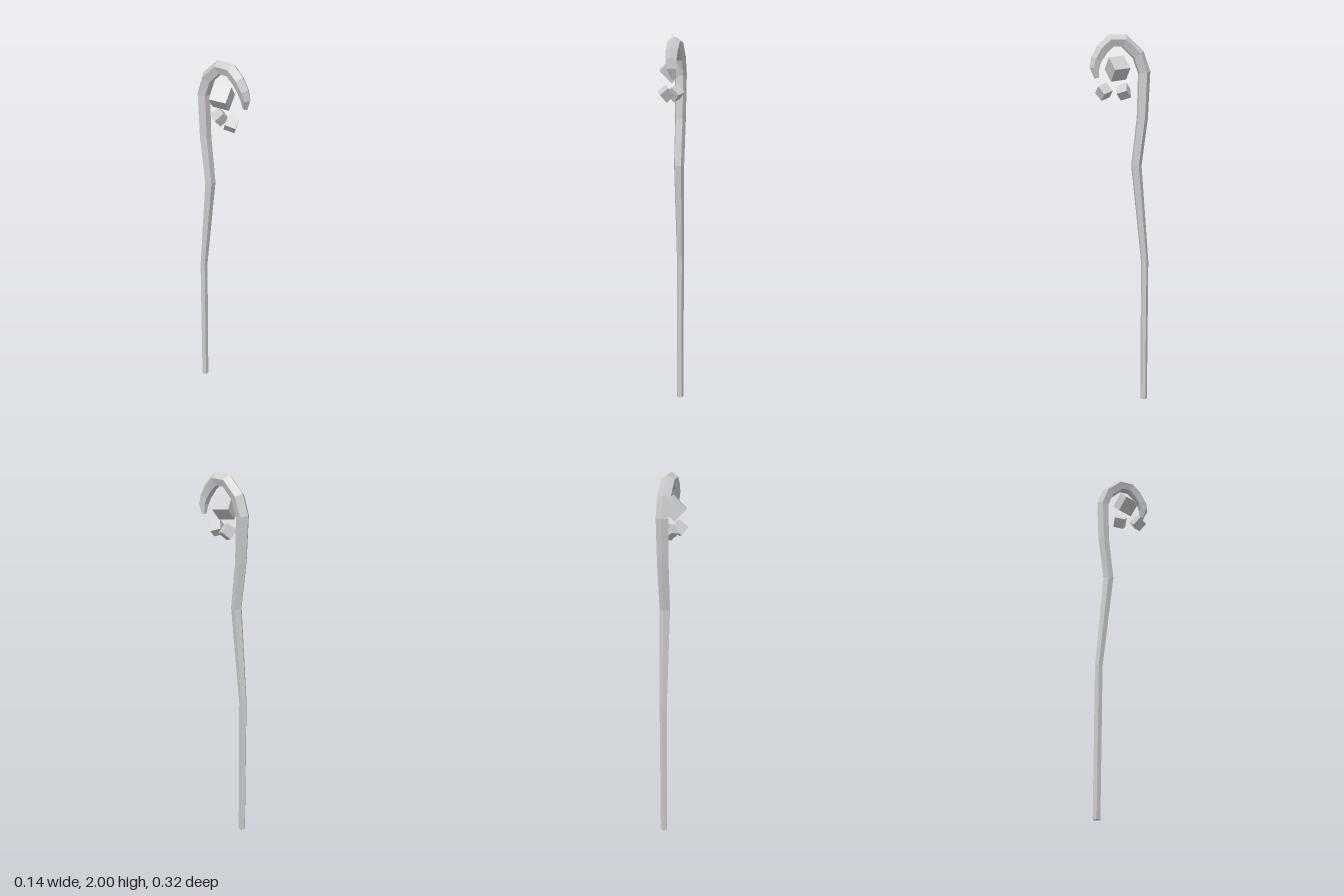
import * as THREE from 'three';

const material = new THREE.MeshStandardMaterial({ color: 0xcccccc, flatShading: true });

// Sweeps a five-sided section, ridge on the outer side of the bend, along stations [x, y, z, radius]
function sweepPentagon(stations) {
  const sides = 5, across = new THREE.Vector3(1, 0, 0);
  const centres = stations.map(([x, y, z]) => new THREE.Vector3(x, y, z));
  const positions = [], index = [];
  centres.forEach((c, i) => {
    const before = centres[Math.max(i - 1, 0)];
    const after = centres[Math.min(i + 1, centres.length - 1)];
    const dirIn = c.clone().sub(before).normalize();
    const dirOut = after.clone().sub(c).normalize();
    const tangent = dirIn.add(dirOut).setX(0).normalize();
    const ridge = tangent.cross(across);
    for (let k = 0; k < sides; k++) {
      const a = (k / sides) * Math.PI * 2, r = stations[i][3];
      const p = c.clone().addScaledVector(ridge, r * Math.cos(a)).addScaledVector(across, r * Math.sin(a));
      positions.push(p.x, p.y, p.z);
    }
  });
  const last = (centres.length - 1) * sides;
  for (let i = 0; i < last; i += sides) {
    for (let k = 0; k < sides; k++) {
      const a = i + k, b = i + (k + 1) % sides;
      index.push(a, a + sides, b, b, a + sides, b + sides);
    }
  }
  // End caps
  for (let k = 1; k < sides - 1; k++) {
    index.push(0, k, k + 1, last, last + k + 1, last + k);
  }
  const indexed = new THREE.BufferGeometry();
  indexed.setAttribute('position', new THREE.Float32BufferAttribute(positions, 3));
  indexed.setIndex(index);
  const geometry = indexed.toNonIndexed();
  geometry.computeVertexNormals();
  return geometry;
}

export function createModel() {
  const model = new THREE.Group();
  model.name = 'crookedStaff';

  // Shaft and hook in one tapering sweep
  const staff = new THREE.Mesh(sweepPentagon([
    [0.02, 0, -0.136, 0.0195],
    [0.02, 0.8, -0.136, 0.021],
    [0.021, 1.33, -0.087, 0.029],
    [0.022, 1.58, -0.117, 0.031],
    [0.022, 1.81, -0.125, 0.034],
    [0.022, 1.9, -0.093, 0.035],
    [0.022, 1.966, -0.022, 0.035],
    [0.022, 1.966, 0.046, 0.035],
    [0.023, 1.925, 0.09, 0.033],
    [0.025, 1.877, 0.12, 0.03],
    [0.03, 1.835, 0.131, 0.026],
    [0.038, 1.785, 0.122, 0.012],
  ]), material);
  staff.name = 'staff';
  model.add(staff);

  // Floating crystal cubes inside the hook: name, size, position, rotation
  const cubes = [
    ['largeCrystal', 0.087, [0, 1.83, 0.009], [0.1, 0.29, 0.785]],
    ['frontSmallCrystal', 0.056, [-0.012, 1.712, 0.078], [0.3, 0.5, 0.75]],
    ['rearSmallCrystal', 0.056, [0.018, 1.714, -0.02], [0.3, -0.45, 0.75]],
  ];
  for (const [name, size, position, rotation] of cubes) {
    const cube = new THREE.Mesh(new THREE.BoxGeometry(size, size, size), material);
    cube.name = name;
    cube.position.set(...position);
    cube.rotation.set(...rotation, 'YXZ');
    model.add(cube);
  }
  return model;
}
